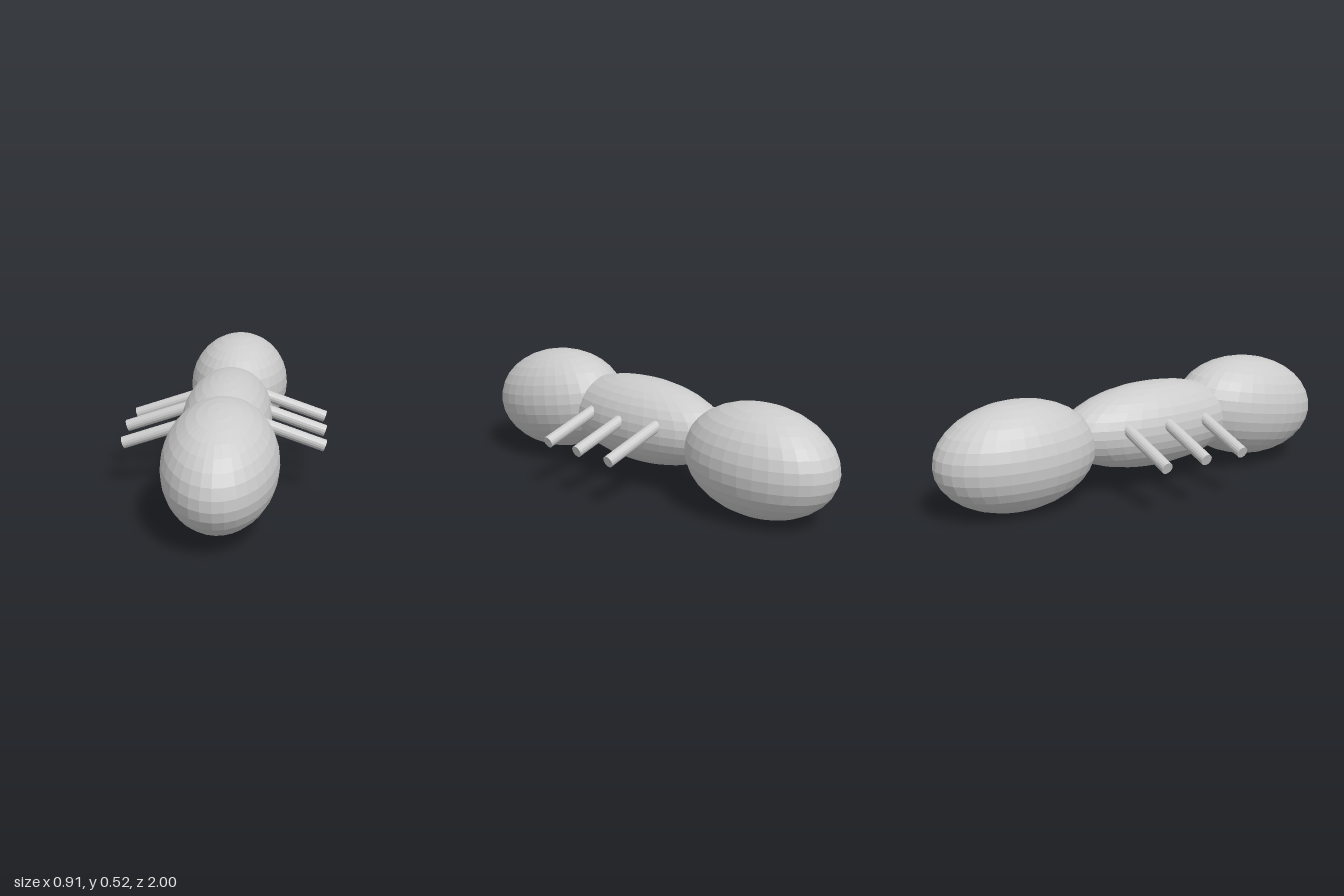
import * as THREE from 'three';

const material = new THREE.MeshStandardMaterial({ color: 0xcccccc, flatShading: true });

// Faceted ellipsoid with its poles on the y axis, tilted about x
function bodySegment(name, radii, position, tilt) {
  const geometry = new THREE.SphereGeometry(1, 32, 16).scale(...radii);
  const mesh = new THREE.Mesh(geometry, material);
  mesh.name = name;
  mesh.position.set(...position);
  mesh.rotation.x = tilt;
  return mesh;
}

// Straight rod running from inside the thorax down to its foot
function leg(name, side, footX, footY, z) {
  const length = 0.36;
  const slope = 0.335;
  const geometry = new THREE.CylinderGeometry(0.0265, 0.0265, length, 16);
  geometry.translate(0, -length / 2, 0);
  const mesh = new THREE.Mesh(geometry, material);
  mesh.name = name;
  mesh.rotation.z = side * (Math.PI / 2 - slope);
  mesh.position.set(
    side * (footX - length * Math.cos(slope)),
    footY + length * Math.sin(slope),
    z
  );
  return mesh;
}

export function createModel() {
  const model = new THREE.Group();
  model.name = 'insect';

  // Three overlapping body segments
  model.add(
    bodySegment('head', [0.239, 0.239, 0.373], [0.028, 0.284, 0.63], 0.152),
    bodySegment('thorax', [0.2, 0.193, 0.47], [0.01, 0.283, 0.065], 0),
    bodySegment('abdomen', [0.239, 0.239, 0.373], [0.015, 0.244, -0.627], -0.02)
  );

  // Three legs on each side: foot x, foot y, z
  const leftLegs = [[0.446, 0.225, 0.23], [0.446, 0.225, 0.037], [0.446, 0.225, -0.163]];
  const rightLegs = [[0.433, 0.217, 0.243], [0.447, 0.223, 0.035], [0.433, 0.217, -0.161]];
  ['front', 'middle', 'rear'].forEach((place, i) => {
    model.add(leg(place + 'LeftLeg', 1, ...leftLegs[i]));
    model.add(leg(place + 'RightLeg', -1, ...rightLegs[i]));
  });

  return model;
}
